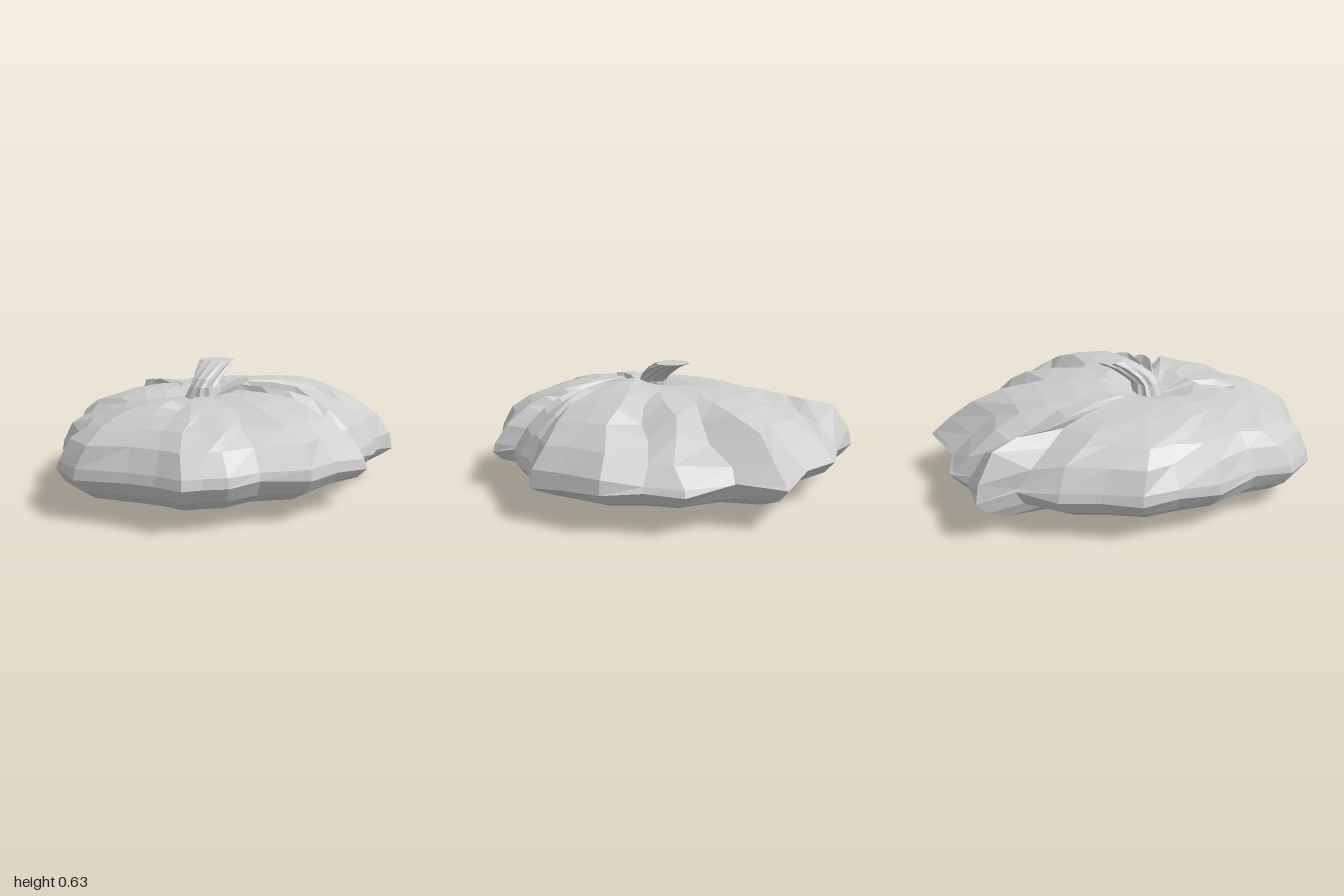
import * as THREE from 'three';

const material = new THREE.MeshStandardMaterial({ color: 0xcccccc, flatShading: true, side: THREE.DoubleSide });

// Skin a stack of closed rings, listed from top to bottom
function loft(name, rings) {
  const n = rings[0].length;
  const index = [];
  for (let i = 0; i < rings.length - 1; i++) {
    for (let j = 0; j < n; j++) {
      const k = (j + 1) % n;
      const a = i * n + j, b = a + n, c = (i + 1) * n + k, d = i * n + k;
      index.push(a, b, d, b, c, d);
    }
  }
  let geometry = new THREE.BufferGeometry();
  geometry.setAttribute('position', new THREE.Float32BufferAttribute(rings.flat(2), 3));
  geometry.setIndex(index);
  geometry = geometry.toNonIndexed();
  geometry.computeVertexNormals();
  const mesh = new THREE.Mesh(geometry, material);
  mesh.name = name;
  return mesh;
}

// Rim of the squash, counterclockwise from the front: x, z, rim height, crest height
const RIM = [
  [0.07, 1.0, 0.2, 0.5], [0.15, 0.95, 0.2, 0.5], [0.25, 0.91, 0.2, 0.5],
  [0.36, 0.79, 0.21, 0.5], [0.57, 0.7, 0.2, 0.51], [0.66, 0.53, 0.2, 0.51],
  [0.78, 0.39, 0.19, 0.52], [0.72, 0.27, 0.22, 0.52], [0.75, 0.2, 0.2, 0.54],
  [0.79, 0.1, 0.19, 0.53], [0.8, 0, 0.19, 0.55], [0.82, -0.08, 0.18, 0.54],
  [0.87, -0.17, 0.165, 0.55], [0.8, -0.32, 0.18, 0.56], [0.72, -0.51, 0.19, 0.56],
  [0.57, -0.63, 0.2, 0.54], [0.45, -0.77, 0.19, 0.53], [0.2, -0.83, 0.22, 0.52],
  [0.05, -1.0, 0.2, 0.52], [-0.24, -0.86, 0.2, 0.51], [-0.46, -0.85, 0.2, 0.5],
  [-0.6, -0.75, 0.21, 0.5], [-0.78, -0.7, 0.2, 0.5], [-0.7, -0.53, 0.21, 0.49],
  [-0.81, -0.34, 0.2, 0.49], [-0.83, -0.15, 0.2, 0.49], [-0.87, 0.03, 0.19, 0.49],
  [-0.82, 0.2, 0.2, 0.49], [-0.78, 0.4, 0.19, 0.49], [-0.65, 0.6, 0.21, 0.48],
  [-0.61, 0.79, 0.2, 0.48], [-0.46, 0.92, 0.19, 0.49], [-0.2, 0.94, 0.2, 0.5],
  [-0.06, 0.96, 0.2, 0.5],
];

// Creases (negative) and bulges (positive): rim column, share of radius, spread, depth
const FOLDS = [
  [33, 0.3, 0.18, -0.07], [7, 0.55, 0.25, -0.05], [9, 0.42, 0.2, -0.06],
  [11, 0.4, 0.25, -0.05], [15, 0.68, 0.16, -0.06], [17, 0.78, 0.15, -0.06],
  [21, 0.72, 0.14, -0.035], [22, 0.9, 0.12, 0.07], [23, 0.85, 0.15, -0.04],
  [25, 0.8, 0.1, 0.01], [28, 0.75, 0.15, -0.02], [30, 0.7, 0.15, -0.02],
];

// Share of the rim radius, share of the crest height
const UPPER = [
  [0.02, 0.94], [0.1, 0.95], [0.25, 0.99], [0.4, 0.985], [0.55, 0.95],
  [0.68, 0.89], [0.79, 0.82], [0.91, 0.69], [0.985, 0.49],
];
// Share of the rim radius, height, share of the underside hollow
const LOWER = [
  [1, 0, 0], [0.95, 0.135, 0.1], [0.85, 0.08, 0.5],
  [0.66, 0.035, 0.9], [0.38, 0.013, 1], [0.15, 0.004, 0.5], [0, 0, 0],
];

const POLE = { x: -0.1, z: 0.2 };
const bump = (d, width) => Math.exp(-((d / width) ** 2));

function squashBody() {
  // Point on the ray from the pole to a rim column, turned a little around the pole
  const at = (x, z, f, y, turn = 0) => {
    const dx = (x - POLE.x) * f, dz = (z - POLE.z) * f;
    return [POLE.x + dx + dz * turn, y, POLE.z + dz - dx * turn];
  };
  const rings = UPPER.map(([f, h], i) => RIM.map(([x, z, , crest], j) => {
    const centre = Math.min(1, f * 4);
    let y = h * (0.47 * (1 - centre) + crest * centre);
    FOLDS.forEach(([column, share, spread, depth]) => {
      if (column === j) y += depth * bump(f - share, spread);
    });
    // The back and the left side taper more than the front
    const taper = z < -0.6 && x > -0.5 ? 0.06 : x > 0.7 ? 0.03 : 0;
    y -= taper * bump(f - 0.9, 0.12);
    // Slight irregularity keeps the hand-shaped facets
    const wobble = f > 0.2 && f < 0.95 ? Math.sin(j * 2.3 + i * 1.7) : 0;
    return at(x, z, f + wobble * 0.012, y, wobble * 0.03);
  }));
  LOWER.forEach(([f, y, hollow]) => rings.push(RIM.map(([x, z, rim]) => {
    // Hollow under the front of the left side, between two ribs
    const lift = x > 0.3 ? hollow * (0.012 + 0.08 * bump(z - 0.42, 0.17)) : 0;
    return at(x, z, f, f === 1 ? rim : y + lift);
  })));
  return loft('squashBody', rings);
}

function squashStem() {
  // Sections from the cut top to the flared foot: x, y, z, radius x, radius z, twist
  const sections = [
    [-0.07, 0.63, -0.05, 0, 0, 0.5], [-0.07, 0.63, -0.05, 0.095, 0.085, 0.5],
    [-0.07, 0.6, 0.02, 0.085, 0.08, 0.35], [-0.08, 0.55, 0.1, 0.075, 0.08, 0.15],
    [-0.085, 0.51, 0.14, 0.075, 0.07, 0], [-0.09, 0.45, 0.15, 0.1, 0.08, 0],
  ];
  const sides = 22;
  return loft('stem', sections.map(([x, y, z, rx, rz, twist]) =>
    Array.from({ length: sides }, (_, j) => {
      const a = (j / sides) * Math.PI * 2 + twist;
      const flute = j % 2 ? 0.9 : 1.03;
      return [x + Math.sin(a) * rx * flute, y, z + Math.cos(a) * rz * flute];
    })));
}

export function createModel() {
  const group = new THREE.Group();
  group.name = 'squash';
  group.add(squashBody(), squashStem());
  return group;
}
